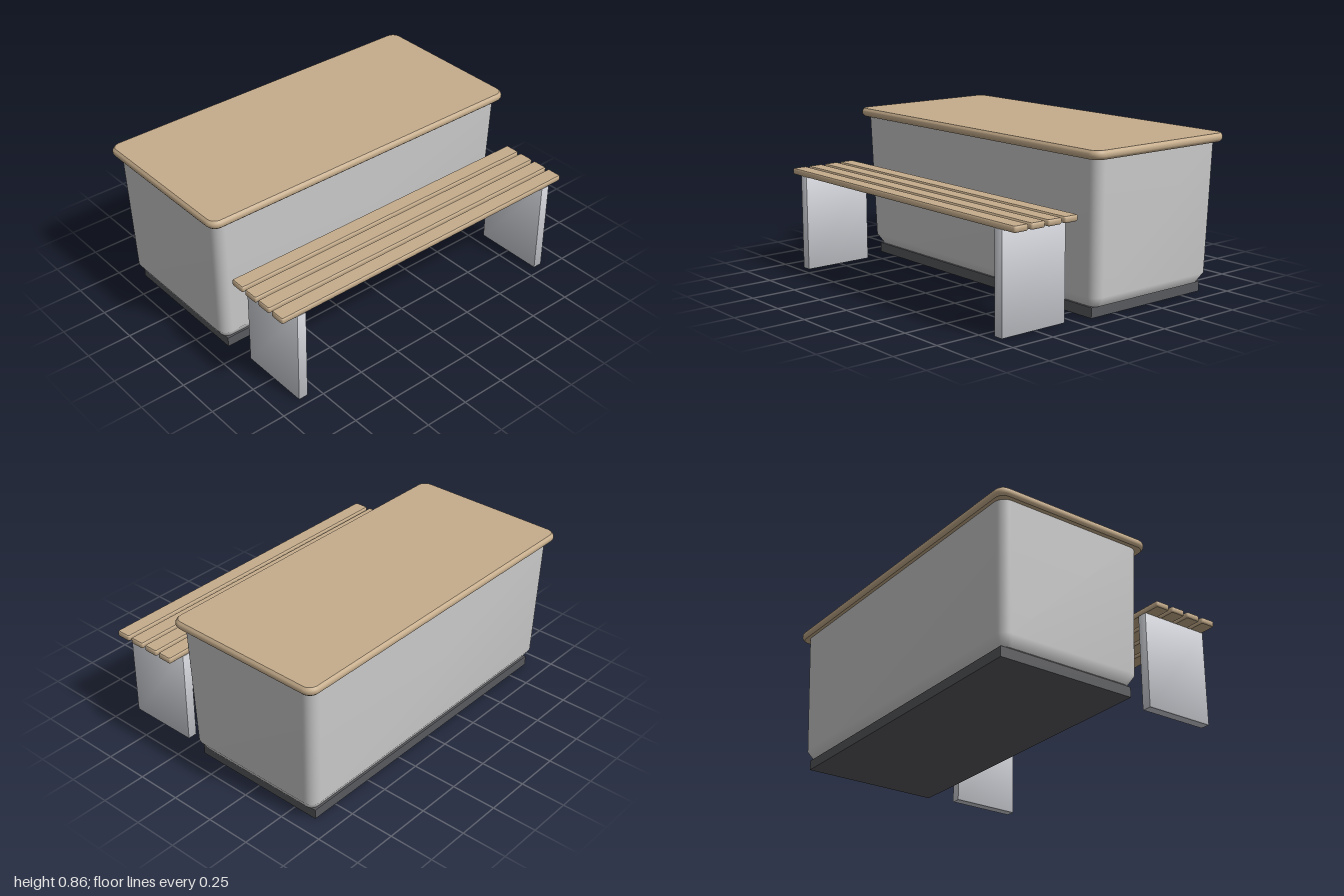
import * as THREE from 'three';
import { toCreasedNormals } from 'three/addons/utils/BufferGeometryUtils.js';

const wood = new THREE.MeshStandardMaterial({ color: 0xc6ad8c });
const grey = new THREE.MeshStandardMaterial({ color: 0xcccccc });
const panel = new THREE.MeshStandardMaterial({ color: 0xd0d2d8 });
const dark = new THREE.MeshStandardMaterial({ color: 0x58595d });

// Outline of a rounded rectangle, half sizes hx and hz, corner radius r
function outline(hx, hz, r, steps) {
  const pts = [];
  [[1, 1], [-1, 1], [-1, -1], [1, -1]].forEach(([sx, sz], q) => {
    for (let i = 0; i <= steps; i++) {
      const a = (q + i / steps) * Math.PI / 2;
      pts.push([sx * (hx - r) + r * Math.cos(a), sz * (hz - r) + r * Math.sin(a)]);
    }
  });
  return pts;
}

// Closed solid through levels [y, halfX, halfZ, radius], listed from bottom to top
function loft(levels, steps) {
  const pos = [], idx = [];
  const n = 4 * (steps + 1);
  const addRing = ([y, hx, hz, r]) => {
    const start = pos.length / 3;
    for (const [x, z] of outline(hx, hz, r, steps)) pos.push(x, y, z);
    return start;
  };
  const starts = levels.map(addRing);
  for (let k = 0; k + 1 < starts.length; k++) {
    for (let i = 0; i < n; i++) {
      const j = (i + 1) % n, a = starts[k], b = starts[k + 1];
      idx.push(a + i, b + i, a + j, a + j, b + i, b + j);
    }
  }
  // Caps have their own vertices so the rim stays sharp
  const bottom = addRing(levels[0]), top = addRing(levels[levels.length - 1]);
  for (let i = 1; i + 1 < n; i++) {
    idx.push(bottom, bottom + i, bottom + i + 1);
    idx.push(top, top + i + 1, top + i);
  }
  const geo = new THREE.BufferGeometry();
  geo.setAttribute('position', new THREE.Float32BufferAttribute(pos, 3));
  geo.setIndex(idx);
  geo.computeVertexNormals();
  return geo;
}

// Board with softened edges, standing on y = 0
function board(w, h, d, r, bevel, steps) {
  const hx = w / 2, hz = d / 2, b = bevel;
  return toCreasedNormals(loft([
    [0, hx - b, hz - b, r - b],
    [b * 0.7, hx - b * 0.3, hz - b * 0.3, r - b * 0.3],
    [b * 1.3, hx, hz, r],
    [h - b * 1.3, hx, hz, r],
    [h - b * 0.7, hx - b * 0.3, hz - b * 0.3, r - b * 0.3],
    [h, hx - b, hz - b, r - b],
  ], steps), 0.6);
}

export function createModel() {
  const model = new THREE.Group();
  const add = (parent, name, geo, mat, x, y, z) => {
    const mesh = new THREE.Mesh(geo, mat);
    mesh.name = name;
    mesh.position.set(x, y, z);
    parent.add(mesh);
  };

  // Tapered tub on a plinth, closed by a wooden lid
  const tub = new THREE.Group();
  tub.name = 'tub';
  tub.position.z = -0.242;
  add(tub, 'plinth', new THREE.BoxGeometry(1.8, 0.055, 0.79), dark, 0, 0.0275, 0);
  add(tub, 'tubBody', loft([
    [0.055, 0.908, 0.383, 0.04],
    [0.11, 0.943, 0.418, 0.06],
    [0.815, 0.964, 0.436, 0.06],
  ], 8), grey, 0, 0, 0);
  add(tub, 'lid', board(2, 0.046, 0.936, 0.06, 0.013, 8), wood, 0, 0.812, 0);
  model.add(tub);

  // Slatted bench in front
  const bench = new THREE.Group();
  bench.name = 'bench';
  bench.position.z = 0.506;
  const slat = board(1.92, 0.032, 0.088, 0.012, 0.005, 3);
  for (let i = 0; i < 4; i++) {
    add(bench, 'slat', slat, wood, 0, 0.528, (i - 1.5) * 0.105);
  }
  for (const side of [-1, 1]) {
    add(bench, 'benchLeg', board(0.056, 0.528, 0.405, 0.005, 0.003, 2), panel, side * 0.843, 0, 0);
  }
  model.add(bench);

  return model;
}
